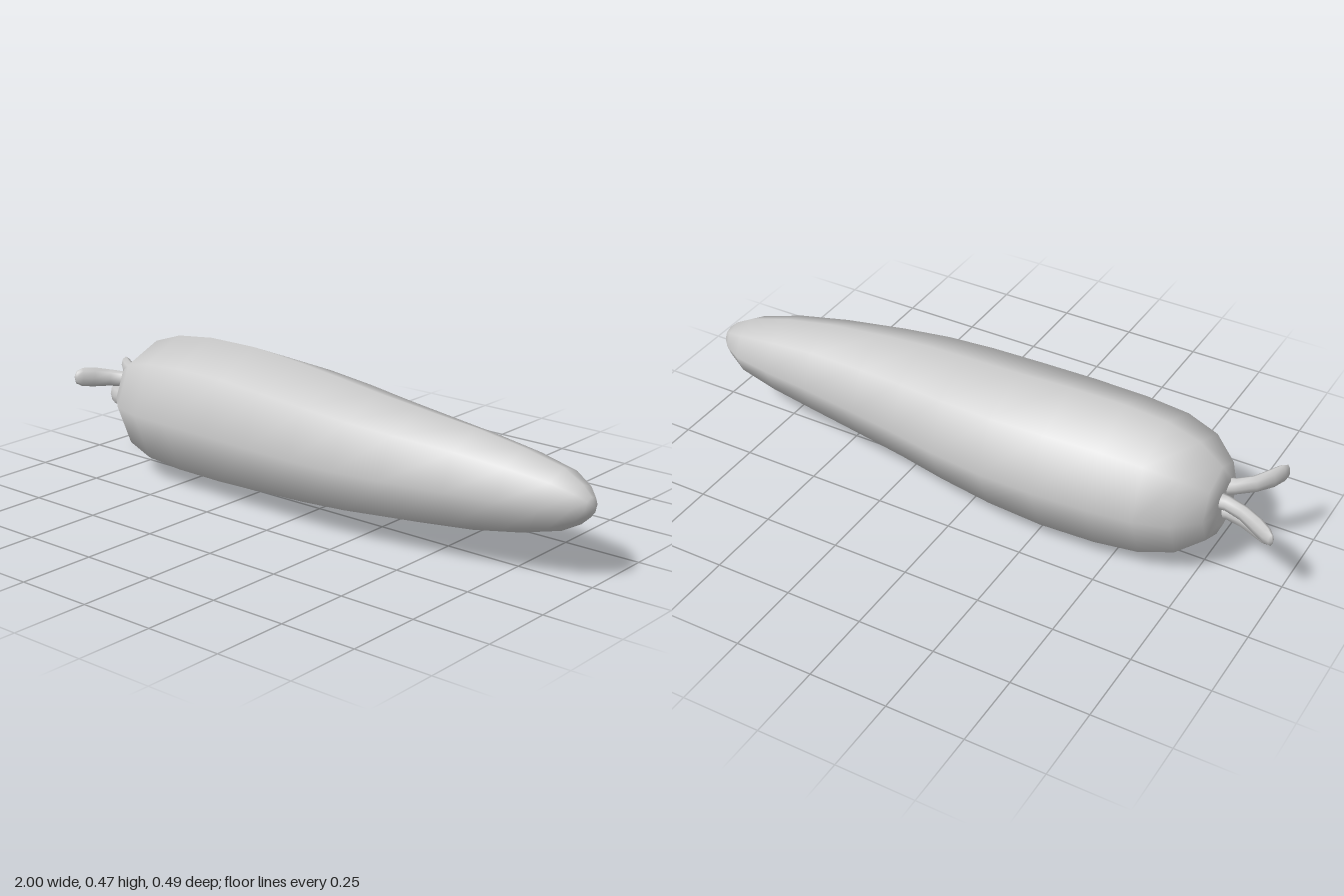
import * as THREE from 'three';

const SIDES = 8;
const material = new THREE.MeshStandardMaterial({ color: 0xcccccc, roughness: 0.8 });

// Closed smooth skin over elliptical rings { c: centre, t: direction, h: half height, w: half width },
// with a single vertex closing each end.
function loft(name, rings, start, end) {
  const pos = [], index = [];
  const up = new THREE.Vector3(0, 1, 0);
  for (const { c, t, h, w } of rings) {
    const side = new THREE.Vector3().crossVectors(t, up).normalize();
    const u = new THREE.Vector3().crossVectors(side, t).normalize();
    for (let j = 0; j < SIDES; j++) {
      const a = (j / SIDES) * Math.PI * 2;
      const p = c.clone().addScaledVector(u, h * Math.cos(a)).addScaledVector(side, w * Math.sin(a));
      pos.push(p.x, p.y, p.z);
    }
  }
  const first = rings.length * SIDES, last = (rings.length - 1) * SIDES;
  pos.push(...start.toArray(), ...end.toArray());
  for (let j = 0; j < SIDES; j++) {
    const k = (j + 1) % SIDES;
    for (let i = 0; i < last; i += SIDES) {
      index.push(i + j, i + k, i + SIDES + j, i + k, i + SIDES + k, i + SIDES + j);
    }
    index.push(first, k, j, first + 1, last + j, last + k);
  }
  const g = new THREE.BufferGeometry();
  g.setAttribute('position', new THREE.Float32BufferAttribute(pos, 3));
  g.setIndex(index);
  g.computeVertexNormals();
  const mesh = new THREE.Mesh(g, material);
  mesh.name = name;
  return mesh;
}

// Tapered root lying along x: [x, half height, z of back edge, z of front edge]
function createRoot() {
  const axis = new THREE.Vector3(1, 0, 0);
  const rings = [
    [-0.8, 0.075, -0.07, 0.07],
    [-0.78, 0.125, -0.12, 0.12],
    [-0.705, 0.187, -0.185, 0.185],
    [-0.6, 0.222, -0.22, 0.215],
    [-0.46, 0.237, -0.236, 0.222],
    [-0.28, 0.237, -0.247, 0.228],
    [-0.1, 0.224, -0.244, 0.237],
    [0.08, 0.209, -0.222, 0.242],
    [0.24, 0.194, -0.192, 0.236],
    [0.4, 0.178, -0.167, 0.214],
    [0.6, 0.156, -0.138, 0.175],
    [0.76, 0.128, -0.121, 0.14],
    [0.89, 0.094, -0.099, 0.097],
    [0.955, 0.058, -0.062, 0.062],
    [0.985, 0.03, -0.03, 0.034],
  ].map(([x, h, back, front]) => ({
    c: new THREE.Vector3(x, 0.241, (back + front) / 2), t: axis, h, w: (front - back) / 2,
  }));
  return loft('root', rings, new THREE.Vector3(-0.79, 0.241, 0), new THREE.Vector3(1, 0.241, 0.003));
}

// Flattened curved stalk swept along a few points, flared at the base and rounded at the tip
function createStalk(name, points, size) {
  const curve = new THREE.CatmullRomCurve3(points.map((p) => new THREE.Vector3(...p)));
  const profile = [
    [0, 0.9, 1.5], [0.2, 0.8, 1.1], [0.45, 0.85, 1], [0.7, 1, 1], [0.88, 0.95, 0.85], [0.97, 0.65, 0.5],
  ];
  const rings = profile.map(([s, h, w]) => ({
    c: curve.getPointAt(s), t: curve.getTangentAt(s), h: h * size, w: w * 0.019,
  }));
  return loft(name, rings, curve.getPointAt(0), curve.getPointAt(1));
}

export function createModel() {
  const group = new THREE.Group();
  group.name = 'carrot';
  group.add(
    createRoot(),
    createStalk('backStalk', [[-0.77, 0.27, -0.03], [-0.85, 0.275, -0.045], [-0.93, 0.272, -0.085], [-1, 0.275, -0.135]], 0.03),
    createStalk('lowerStalk', [[-0.77, 0.21, 0.01], [-0.85, 0.203, 0.005], [-0.91, 0.198, -0.012], [-0.962, 0.197, -0.04]], 0.034),
    createStalk('frontStalk', [[-0.77, 0.28, 0.025], [-0.83, 0.285, 0.045], [-0.885, 0.292, 0.1], [-0.925, 0.3, 0.17]], 0.033),
  );
  return group;
}
